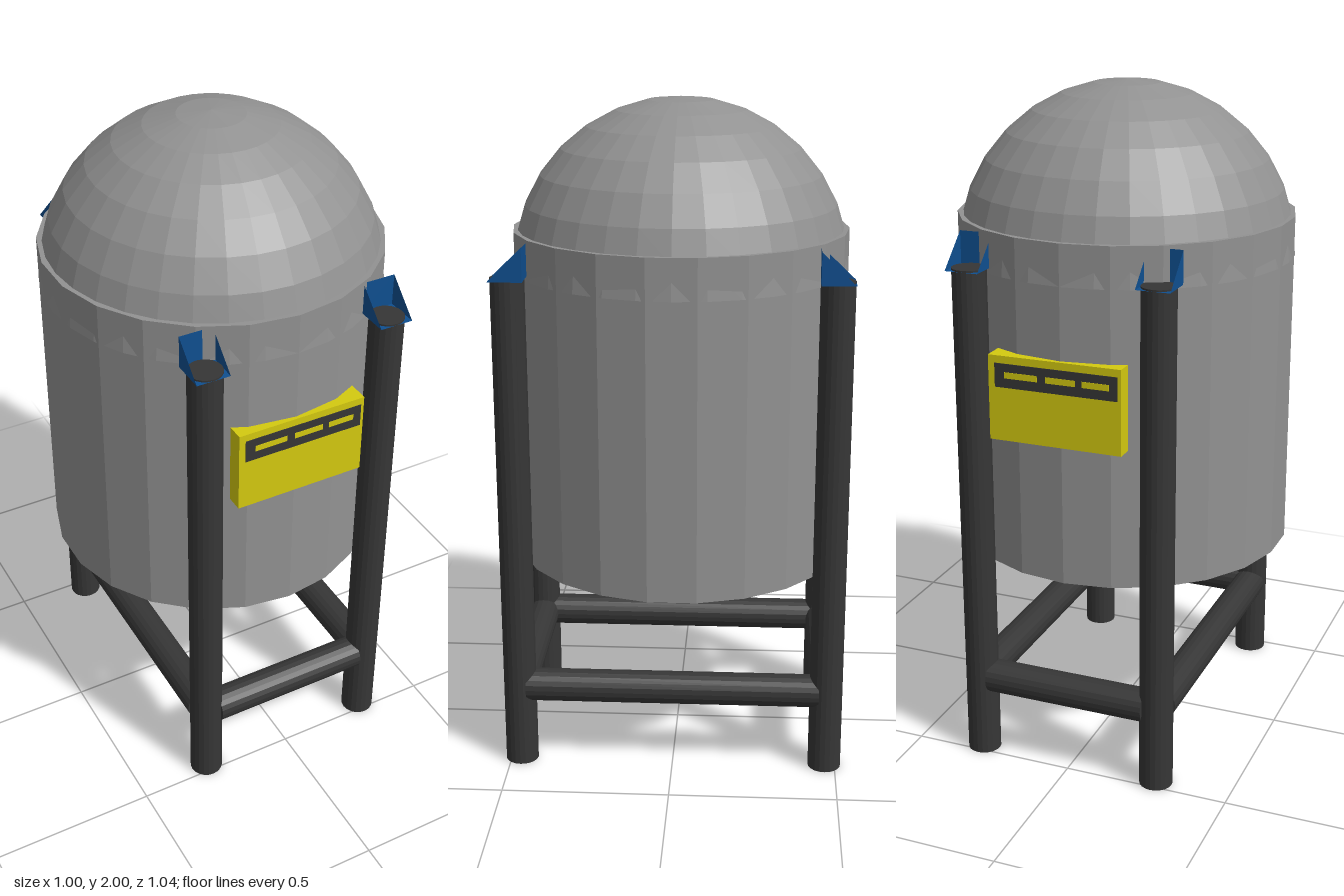
import * as THREE from 'three';

export function createModel() {
  const model = new THREE.Group();
  const mat = (name, color, extra = {}) => {
    const m = new THREE.MeshStandardMaterial({ color, flatShading: true, ...extra });
    m.name = name;
    return m;
  };
  const grey = mat('tankGrey', 0x929292);
  const dark = mat('frameCharcoal', 0x363636);
  const blue = mat('bracketBlue', 0x0f4f90, { side: THREE.DoubleSide });
  const yellow = mat('signYellow', 0xd4ca10);

  const add = (parent, name, geo, material, x = 0, y = 0, z = 0) => {
    const m = new THREE.Mesh(geo, material);
    m.name = name;
    m.position.set(x, y, z);
    parent.add(m);
    return m;
  };

  // Tank body and domed lid
  add(model, 'tankBody', new THREE.CylinderGeometry(0.5, 0.5, 1, 22), grey, 0, 1.12, -0.01);
  add(model, 'dome', new THREE.SphereGeometry(0.5, 32, 8, 0, Math.PI * 2, 0, Math.PI / 2), grey, 0, 1.5, -0.01);

  // Four legs, each with an open wedge bracket on top
  const cx = 0.01, dx = 0.283, dz = 0.468, h = 0.05;
  const cheek = new THREE.BufferGeometry().setFromPoints([
    new THREE.Vector3(0, 0, h), new THREE.Vector3(0, 0, -h), new THREE.Vector3(0, 0.095, -h),
  ]);
  cheek.computeVertexNormals();
  for (const sx of [-1, 1]) for (const sz of [-1, 1]) {
    const x = cx + sx * dx, z = sz * dz;
    add(model, 'leg', new THREE.CylinderGeometry(h, h, 1.52, 20), dark, x, 0.76, z);
    const bracket = new THREE.Group();
    bracket.name = 'bracket';
    bracket.position.set(x, 1.515, z);
    if (sz < 0) bracket.rotation.y = Math.PI;
    add(bracket, 'bracketBase', new THREE.PlaneGeometry(2 * h, 2 * h).rotateX(-Math.PI / 2), blue);
    add(bracket, 'bracketBack', new THREE.PlaneGeometry(2 * h, 0.095), blue, 0, 0.0475, -h);
    for (const s of [-1, 1]) add(bracket, 'bracketCheek', cheek, blue, s * h);
    model.add(bracket);
  }

  // Lower cross bars joining the legs
  for (const s of [-1, 1]) {
    add(model, 'crossBar', new THREE.CylinderGeometry(h, h, 0.5, 20), dark, cx, 0.25, s * dz).rotation.z = Math.PI / 2;
    add(model, 'sideBar', new THREE.CylinderGeometry(h, h, 0.89, 20), dark, cx + s * dx, 0.25, 0).rotation.x = Math.PI / 2;
  }

  // Warning signs on front and back, with a dark banner and abstract dashes
  for (const s of [1, -1]) {
    const sign = new THREE.Group();
    sign.name = 'sign';
    sign.position.set(0.015, 1.165, s > 0 ? 0.5 : -0.522);
    if (s < 0) sign.rotation.y = Math.PI;
    add(sign, 'signBoard', new THREE.BoxGeometry(0.4, 0.25, 0.1), yellow, 0, 0, -0.05);
    add(sign, 'signBanner', new THREE.BoxGeometry(0.37, 0.07, 0.004), dark, 0.005, 0.068, 0);
    [[-0.1, 0.1], [0.02, 0.09], [0.125, 0.08]].forEach(([x, w]) =>
      add(sign, 'bannerDash', new THREE.BoxGeometry(w, 0.018, 0.006), yellow, x, 0.07, 0));
    model.add(sign);
  }
  return model;
}
